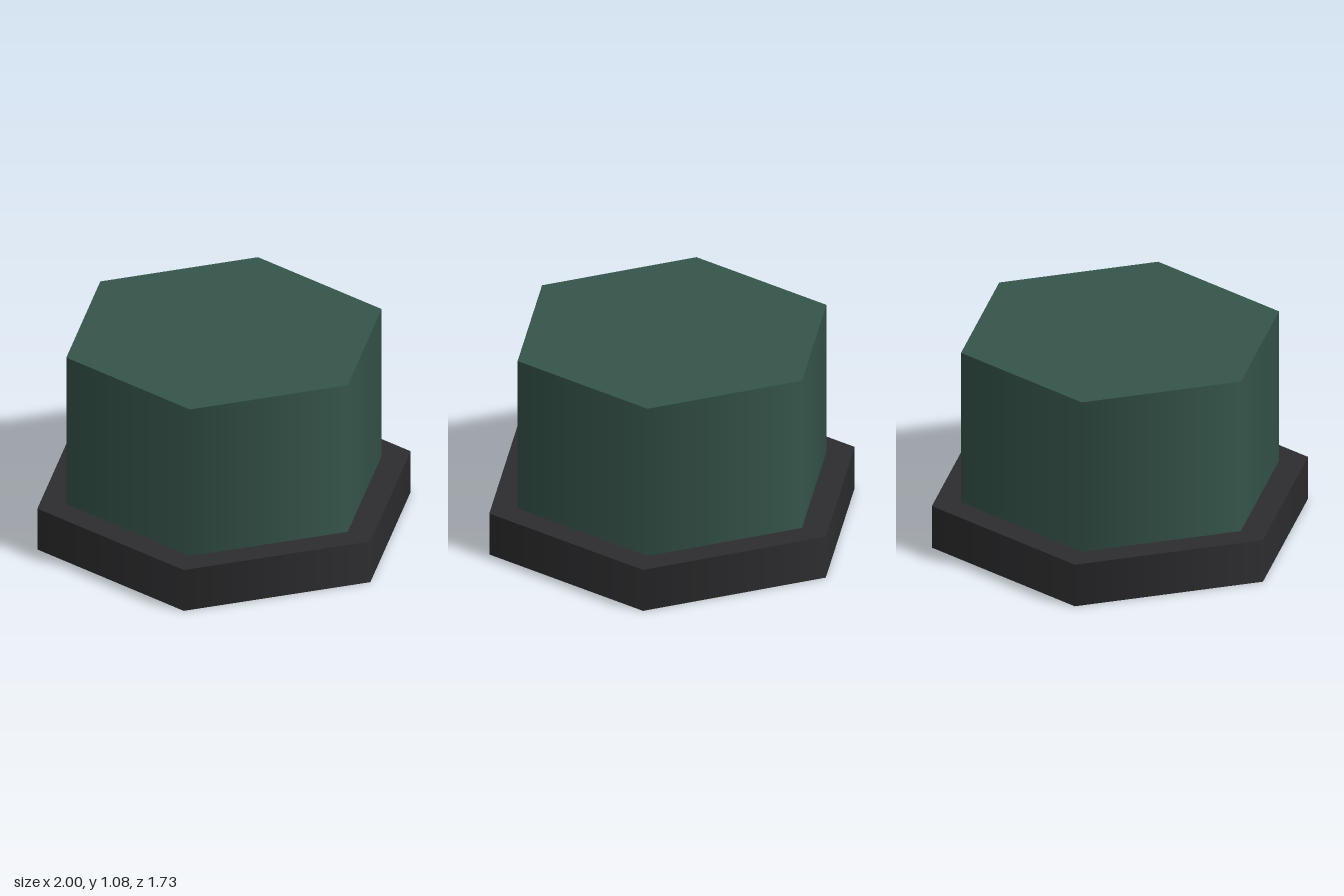
import * as THREE from 'three';

// Hexagonal prism with corners on the x axis, standing on height y
function hexPrism(name, radius, height, y, color) {
  const geometry = new THREE.CylinderGeometry(radius, radius, height, 6);
  geometry.rotateY(Math.PI / 2);
  geometry.translate(0, y + height / 2, 0);
  const mesh = new THREE.Mesh(geometry, new THREE.MeshStandardMaterial({ color }));
  mesh.name = name;
  return mesh;
}

export function createModel() {
  const model = new THREE.Group();
  model.name = 'hexagonalPedestal';

  const baseHeight = 0.235;
  // Wide dark plinth
  model.add(hexPrism('base', 1, baseHeight, 0, 0x2d2d2f));
  // Narrower green block on top
  model.add(hexPrism('body', 0.845, 0.845, baseHeight, 0x36554a));

  return model;
}
